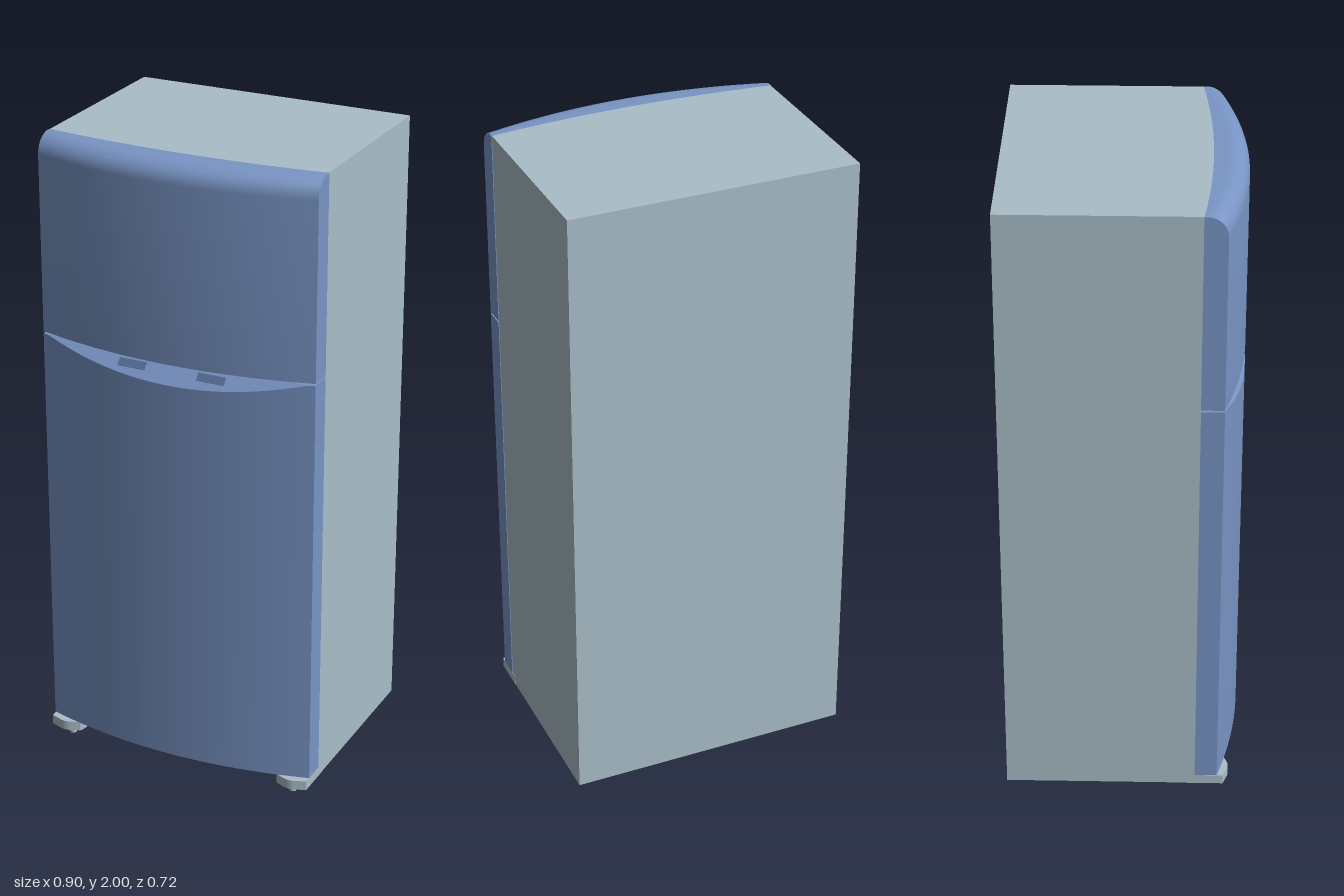
import * as THREE from 'three';
import { toCreasedNormals } from 'three/addons/utils/BufferGeometryUtils.js';

const HALF = 0.449;      // half width
const SEAM = 1.383;      // height of the gap between the doors
const bow = (x) => 1 - (x / HALF) ** 2;
const frontZ = (x) => 0.295 + 0.065 * bow(x);   // outer face of the doors
const backZ = (x) => 0.226 + 0.029 * bow(x);    // face where doors meet cabinet

// Sweeps a closed [z, y] profile, which may vary with x, from side to side.
function sweep(profile, half = HALF, steps = 36) {
  const sections = [];
  for (let i = 0; i <= steps; i++) {
    const x = -half + (2 * half * i) / steps;
    sections.push(profile(x).map(([z, y]) => [x, y, z]));
  }
  const pos = [];
  const tri = (a, b, c) => pos.push(...a, ...b, ...c);
  const n = sections[0].length;
  for (let i = 0; i < steps; i++) {
    const p = sections[i], q = sections[i + 1];
    for (let j = 0; j < n; j++) {
      const k = (j + 1) % n;
      tri(p[j], q[j], q[k]);
      tri(p[j], q[k], p[k]);
    }
  }
  // end caps
  const l = sections[0], r = sections[steps];
  for (let j = 1; j < n - 1; j++) {
    tri(l[0], l[j], l[j + 1]);
    tri(r[0], r[j + 1], r[j]);
  }
  const geo = new THREE.BufferGeometry();
  geo.setAttribute('position', new THREE.Float32BufferAttribute(pos, 3));
  return toCreasedNormals(geo, 0.5);
}

export function createModel() {
  const group = new THREE.Group();
  const grey = new THREE.MeshStandardMaterial({ name: 'cabinet grey', color: 0xa9bec8 });
  const blue = new THREE.MeshStandardMaterial({ name: 'door blue', color: 0x7995c5 });
  const darkBlue = new THREE.MeshStandardMaterial({ name: 'grip slot blue', color: 0x556c96 });

  const add = (name, geo, mat, x = 0, y = 0, z = 0) => {
    const mesh = new THREE.Mesh(geo, mat);
    mesh.name = name;
    mesh.position.set(x, y, z);
    group.add(mesh);
    return mesh;
  };

  // Cabinet with a gently bowed front
  add('cabinet', sweep((x) => [
    [-0.362, 0.03], [backZ(x), 0.03], [backZ(x), 2], [-0.362, 2],
  ], 0.447), grey);

  // Freezer door with a rounded top edge
  const radius = 0.06;
  add('freezerDoor', sweep((x) => {
    const zf = frontZ(x), pts = [[backZ(x), SEAM + 0.003], [zf, SEAM + 0.003]];
    for (let i = 0; i <= 8; i++) {
      const a = (i / 8) * Math.PI / 2;
      pts.push([zf - radius + radius * Math.cos(a), 2 - radius + radius * Math.sin(a)]);
    }
    pts.push([backZ(x), 2]);
    return pts;
  }), blue);

  // Main door, its top front edge cut by a sloping plane to form the grip
  const top = SEAM - 0.003, slope = 1.0, cutZ = 0.3;
  add('mainDoor', sweep((x) => {
    const zf = frontZ(x), zb = backZ(x);
    return [
      [zb, 0.063], [zf, 0.063], [zf, top - Math.max(0, zf - cutZ) * slope],
      [Math.min(zf, cutZ), top], [zb, top],
    ];
  }), blue);

  for (const side of [-1, 1]) {
    // Slots on the sloping grip
    const slot = add('gripSlot', new THREE.BoxGeometry(0.09, 0.002, 0.026), darkBlue,
      side * 0.13, top - 0.028 * slope, cutZ + 0.028);
    slot.rotation.x = Math.atan(slope);

    // Front corner pads
    const pad = new THREE.Shape();
    pad.moveTo(side * 0.448, 0.2);
    pad.lineTo(side * 0.448, 0.314);
    pad.lineTo(side * 0.41, 0.328);
    pad.quadraticCurveTo(side * 0.393, 0.333, side * 0.375, 0.326);
    pad.lineTo(side * 0.348, 0.315);
    pad.quadraticCurveTo(side * 0.335, 0.3, side * 0.335, 0.2);
    const padGeo = new THREE.ExtrudeGeometry(pad, { depth: 0.031, bevelEnabled: false });
    padGeo.rotateX(Math.PI / 2);
    add('frontPad', padGeo, grey, 0, 0.061, 0);

    // Feet
    for (const z of [0.285, -0.297]) {
      add('foot', new THREE.CylinderGeometry(0.011, 0.011, 0.034, 16), grey, side * 0.39, 0.017, z);
    }
  }
  return group;
}
